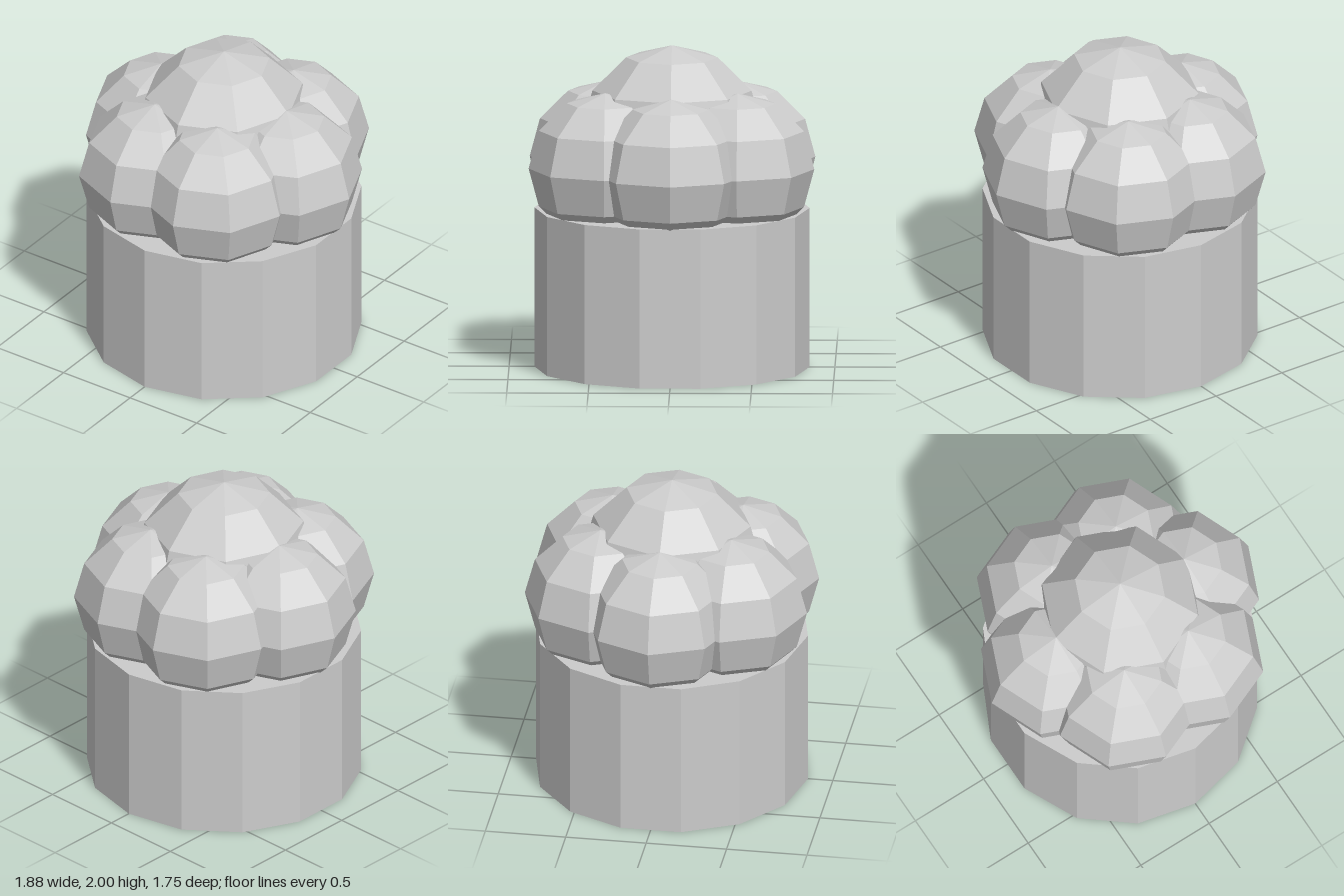
import * as THREE from 'three';

export function createModel() {
  const group = new THREE.Group();
  const paleGrey = new THREE.MeshStandardMaterial({ color: 0xcccccc });
  paleGrey.name = 'paleGrey';

  // Unshared vertices keep every facet flat
  function addPart(name, geometry, x, y, z) {
    const flat = geometry.toNonIndexed();
    flat.computeVertexNormals();
    const mesh = new THREE.Mesh(flat, paleGrey);
    mesh.name = name;
    mesh.position.set(x, y, z);
    group.add(mesh);
  }

  // Fourteen-sided drum
  const drumHeight = 0.99;
  addPart('base', new THREE.CylinderGeometry(0.845, 0.845, drumHeight, 14), 0, drumHeight / 2, 0);

  // Ring of six faceted puffs, all facing the same way
  const puffRadius = 0.47;
  for (let i = 0; i < 6; i++) {
    const a = (i * Math.PI) / 3;
    addPart(`puff${i + 1}`, new THREE.SphereGeometry(puffRadius, 8, 6),
      puffRadius * Math.cos(a), 1.27, puffRadius * Math.sin(a));
  }

  // Larger puff on top
  const topRadius = 0.564;
  addPart('topPuff', new THREE.SphereGeometry(topRadius, 8, 6), 0, 2 - topRadius, 0);

  return group;
}
